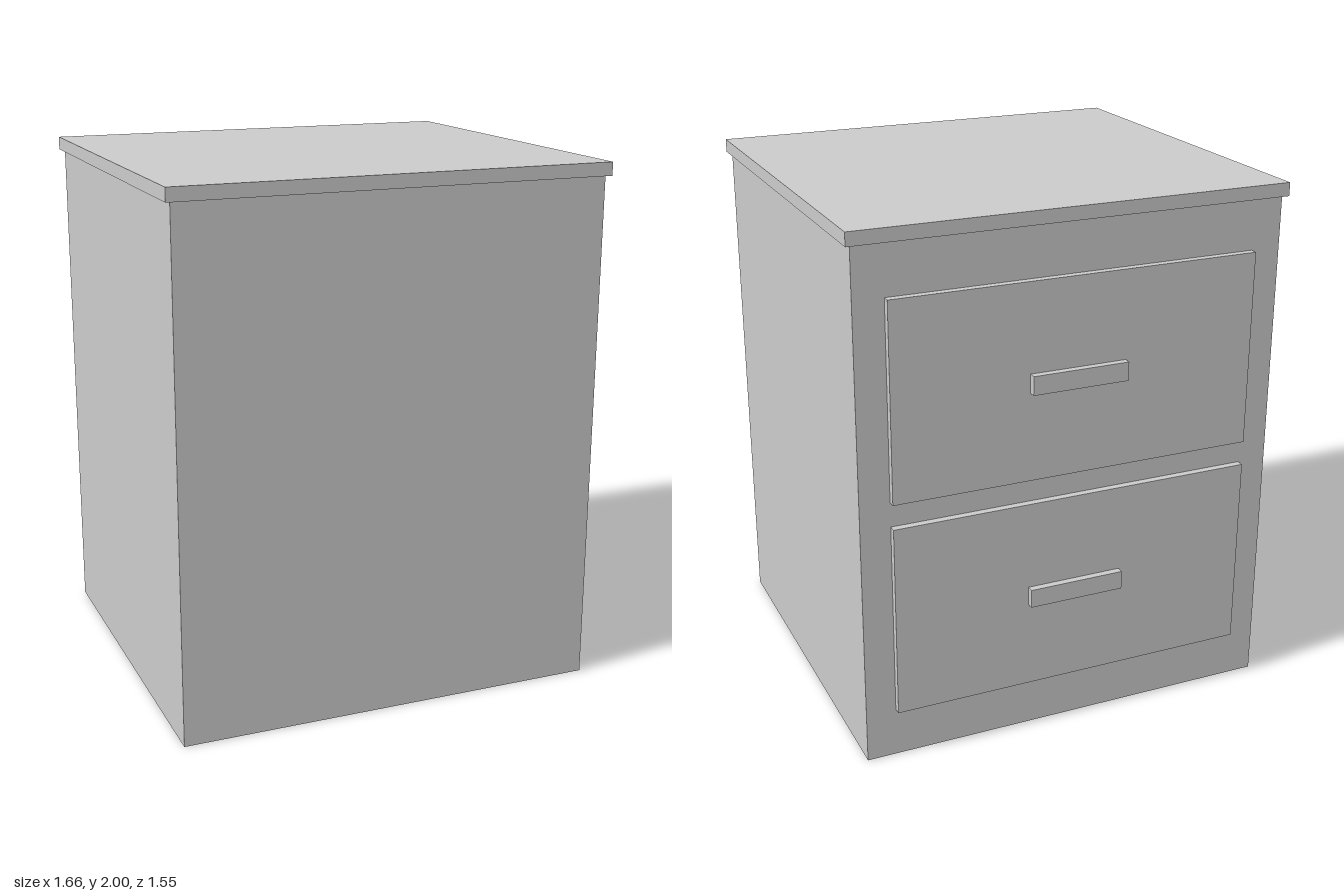
import * as THREE from 'three';

export function createModel() {
  const group = new THREE.Group();
  const material = new THREE.MeshStandardMaterial({ color: 0xcccccc });

  // Box given by its half width and its y and z extents
  function box(name, halfX, y0, y1, z0, z1) {
    const mesh = new THREE.Mesh(new THREE.BoxGeometry(halfX * 2, y1 - y0, z1 - z0), material);
    mesh.position.set(0, (y0 + y1) / 2, (z0 + z1) / 2);
    mesh.name = name;
    return mesh;
  }

  // Cabinet body and overhanging top
  group.add(box('body', 0.813, 0, 1.95, -0.722, 0.762));
  group.add(box('top', 0.832, 1.95, 2, -0.738, 0.777));

  // Two drawers, each a raised front with a bar handle
  [['lowerDrawer', 0.19], ['upperDrawer', 1.022]].forEach(([name, y]) => {
    const drawer = new THREE.Group();
    drawer.name = name;
    drawer.add(box('drawerFront', 0.7, y, y + 0.739, -0.75, -0.722));
    drawer.add(box('handle', 0.185, y + 0.334, y + 0.405, -0.777, -0.75));
    group.add(drawer);
  });

  return group;
}
